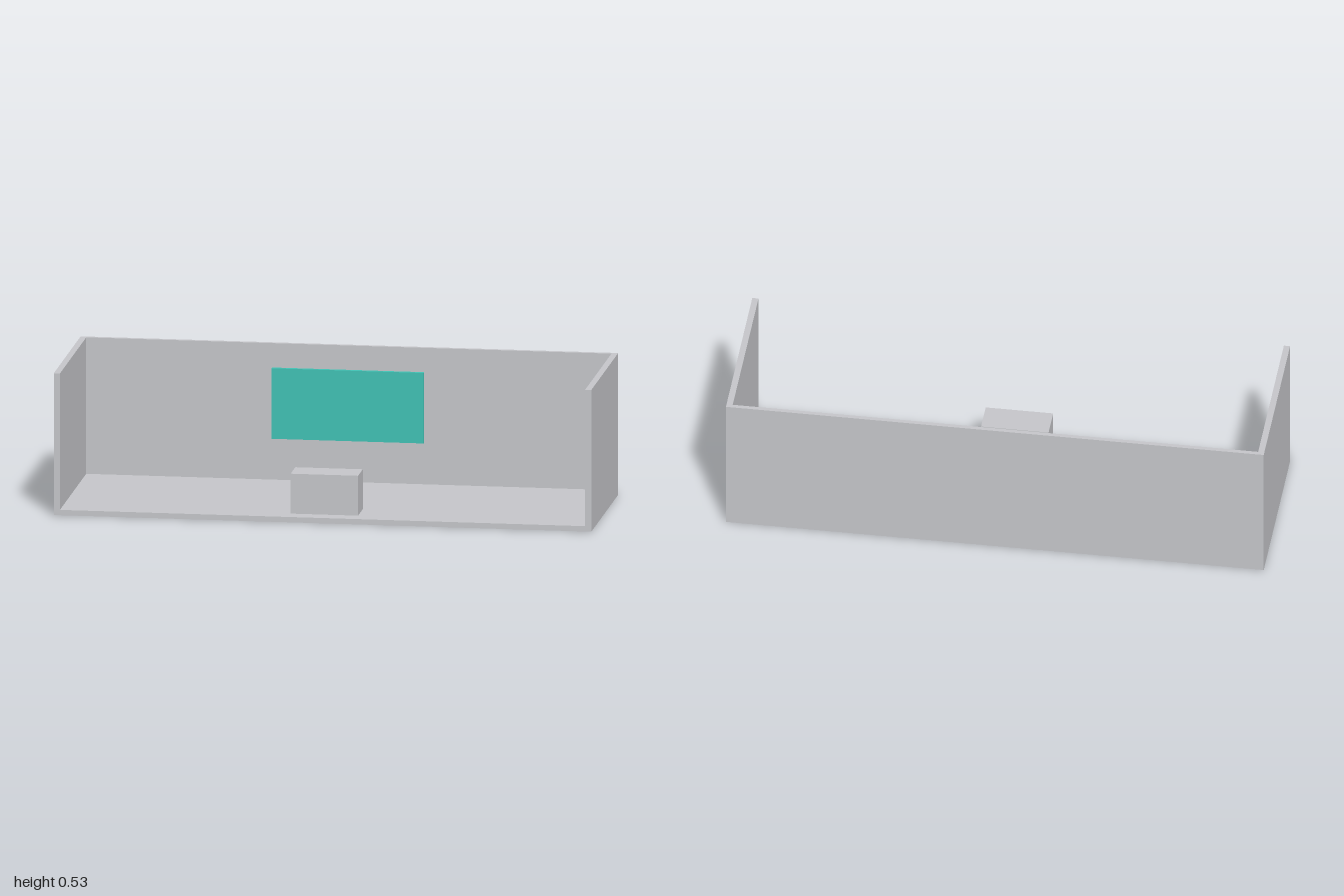
import * as THREE from 'three';

export function createModel() {
  const model = new THREE.Group();
  const lightGrey = new THREE.MeshStandardMaterial({ color: 0xc4c5c9 });
  lightGrey.name = 'lightGrey';
  const teal = new THREE.MeshStandardMaterial({ color: 0x40c1b3 });
  teal.name = 'teal';

  // Box given by its low and high limits on each axis
  function addBox(name, material, [x0, x1], [y0, y1], [z0, z1]) {
    const mesh = new THREE.Mesh(new THREE.BoxGeometry(x1 - x0, y1 - y0, z1 - z0), material);
    mesh.position.set((x0 + x1) / 2, (y0 + y1) / 2, (z0 + z1) / 2);
    mesh.name = name;
    model.add(mesh);
  }

  const height = 0.533, depth = 0.333, inner = 0.977, back = -0.317, floorTop = 0.02;

  // Open room: floor, back wall and two side walls
  addBox('floor', lightGrey, [-inner, inner], [0, floorTop], [back, depth]);
  addBox('backWall', lightGrey, [-inner, inner], [0, height], [-depth, back]);
  addBox('leftWall', lightGrey, [inner, 1], [0, height], [-depth, depth]);
  addBox('rightWall', lightGrey, [-1, -inner], [0, height], [-depth, depth]);

  // Desk near the open front
  addBox('desk', lightGrey, [-0.128, 0.123], [floorTop, 0.17], [0.155, 0.272]);

  // Wall screen on a slightly smaller mount
  addBox('screenMount', lightGrey, [-0.273, 0.273], [0.188, 0.436], [back, -0.301]);
  addBox('screen', teal, [-0.283, 0.283], [0.18, 0.445], [-0.301, -0.286]);

  return model;
}
